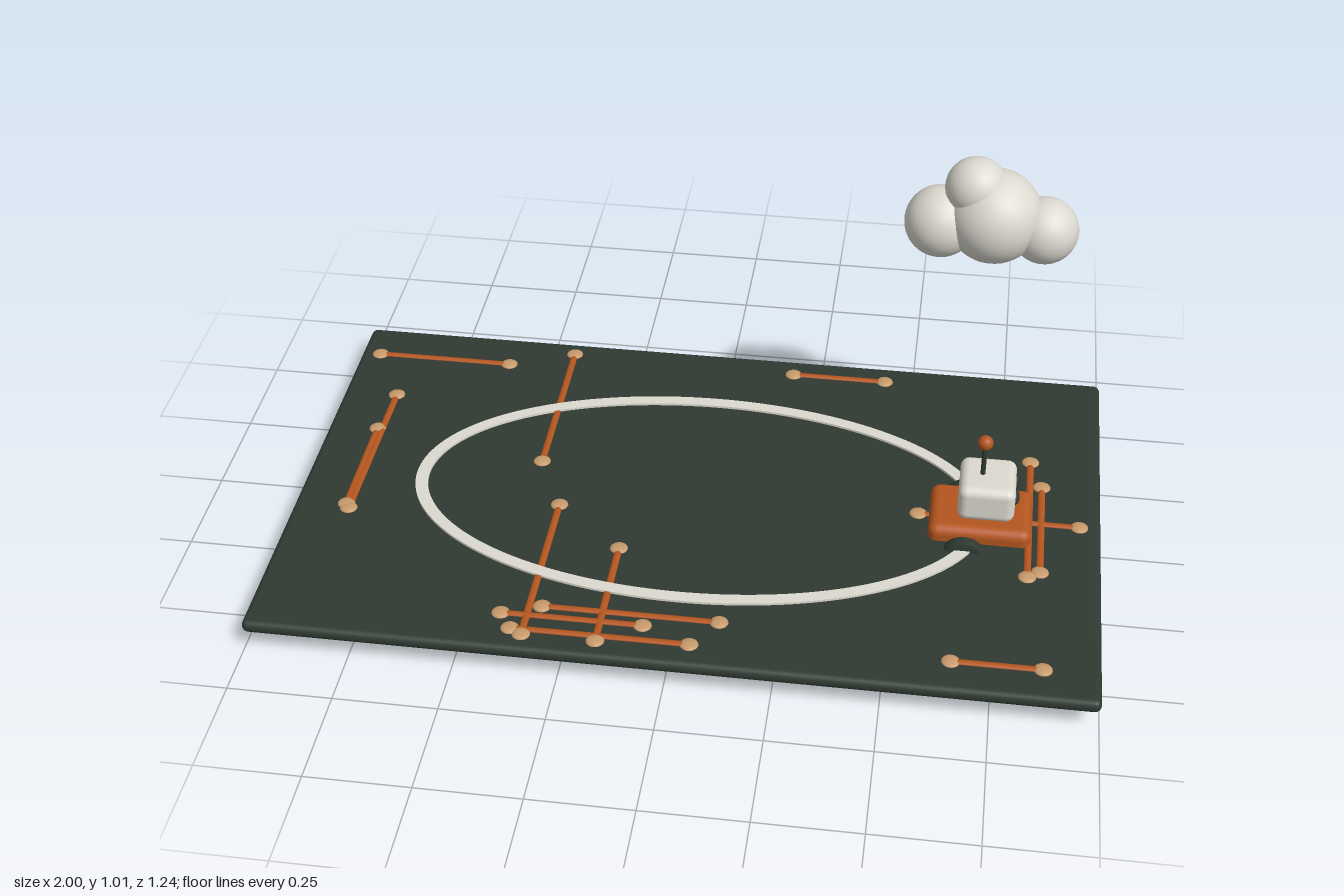
import * as THREE from 'three';
import { RoundedBoxGeometry } from 'three/addons/geometries/RoundedBoxGeometry.js';

const material = (name, color) => {
  const m = new THREE.MeshStandardMaterial({ color });
  m.name = name;
  return m;
};

export function createModel() {
  const dark = material('dark green', 0x2f3a32);
  const orange = material('burnt orange', 0xb5561f);
  const cream = material('warm white', 0xdcd9d0);
  const tan = material('tan', 0xc79a6b);

  const model = new THREE.Group();
  const add = (parent, name, geometry, mat, x = 0, y = 0, z = 0) => {
    const mesh = new THREE.Mesh(geometry, mat);
    mesh.name = name;
    mesh.position.set(x, y, z);
    parent.add(mesh);
    return mesh;
  };
  const group = (name) => {
    const g = new THREE.Group();
    g.name = name;
    model.add(g);
    return g;
  };
  const ball = (r) => new THREE.SphereGeometry(r, 32, 20);

  // Board
  add(model, 'board', new RoundedBoxGeometry(2, 0.034, 1.24, 4, 0.016), dark, 0, 0.07, 0);

  // Oval track, a thin raised ring
  const oval = new THREE.Shape().absellipse(0, 0, 0.722, 0.408, 0, Math.PI * 2);
  oval.holes.push(new THREE.Path().absellipse(0, 0, 0.69, 0.376, 0, Math.PI * 2, true));
  const trackGeometry = new THREE.ExtrudeGeometry(oval, { depth: 0.013, bevelEnabled: false, curveSegments: 96 });
  trackGeometry.rotateX(-Math.PI / 2);
  add(model, 'track', trackGeometry, cream, 0, 0.08, 0);

  // Flat rails with a stud at each end: x1, z1, x2, z2
  const rails = group('rails');
  const railEnds = [
    [-0.947, -0.497, -0.588, -0.497],
    [-0.42, -0.567, -0.417, -0.086],
    [0.182, -0.553, 0.428, -0.553],
    [-0.857, -0.318, -0.859, 0.166],
    [-0.87, -0.166, -0.869, 0.15],
    [-0.34, 0.083, -0.34, 0.567],
    [-0.165, 0.23, -0.165, 0.567],
    [-0.31, 0.465, 0.112, 0.465],
    [-0.402, 0.5, -0.064, 0.5],
    [-0.37, 0.55, 0.053, 0.55],
    [0.655, 0.524, 0.866, 0.524],
    [0.823, -0.25, 0.823, 0.203],
    [0.853, -0.15, 0.853, 0.182],
    [0.55, -0.005, 0.947, -0.002],
  ];
  const studGeometry = new THREE.SphereGeometry(0.022, 20, 12).scale(1, 0.35, 1);
  for (const [x1, z1, x2, z2] of railEnds) {
    const length = Math.hypot(x2 - x1, z2 - z1);
    const bar = new THREE.CylinderGeometry(0.009, 0.009, length, 12);
    bar.rotateZ(Math.PI / 2).scale(1, 0.6, 1);
    const rail = add(rails, 'rail', bar, orange, (x1 + x2) / 2, 0.087, (z1 + z2) / 2);
    rail.rotation.y = Math.atan2(z1 - z2, x2 - x1);
    add(rails, 'stud', studGeometry, tan, x1, 0.087, z1);
    add(rails, 'stud', studGeometry, tan, x2, 0.087, z2);
  }

  // Robot, facing +x
  const robot = group('robot');
  add(robot, 'body', new RoundedBoxGeometry(0.252, 0.081, 0.19, 5, 0.024), orange, 0.703, 0.086, 0);
  add(robot, 'head', new RoundedBoxGeometry(0.138, 0.096, 0.15, 5, 0.022), cream, 0.714, 0.185, 0);
  add(robot, 'antennaRod', new THREE.CylinderGeometry(0.006, 0.006, 0.1, 12), dark, 0.7, 0.27, 0);
  add(robot, 'antennaTip', ball(0.019), orange, 0.7, 0.326, 0);
  add(robot, 'caster', ball(0.022), dark, 0.797, 0.023, 0);

  // Eyes and wheels on both sides
  const wheelProfile = [[0, -0.017], [0.05, -0.017], [0.055, -0.012], [0.055, 0.012], [0.05, 0.017], [0, 0.017]]
    .map(([r, y]) => new THREE.Vector2(r, y));
  const wheelGeometry = new THREE.LatheGeometry(wheelProfile, 40).rotateX(Math.PI / 2);
  for (const side of [-1, 1]) {
    add(robot, 'eye', ball(0.02).scale(0.6, 1, 1), dark, 0.781, 0.194, side * 0.033);
    add(robot, 'wheel', wheelGeometry, dark, 0.667, 0.058, side * 0.116);
  }

  // Cloud of overlapping puffs: x, y, radius
  const cloud = group('cloud');
  for (const [x, y, r] of [[0.675, 0.869, 0.113], [0.552, 0.845, 0.086], [0.795, 0.839, 0.08], [0.629, 0.942, 0.073]]) {
    add(cloud, 'puff', ball(r), cream, x, y, -0.162);
  }

  return model;
}
